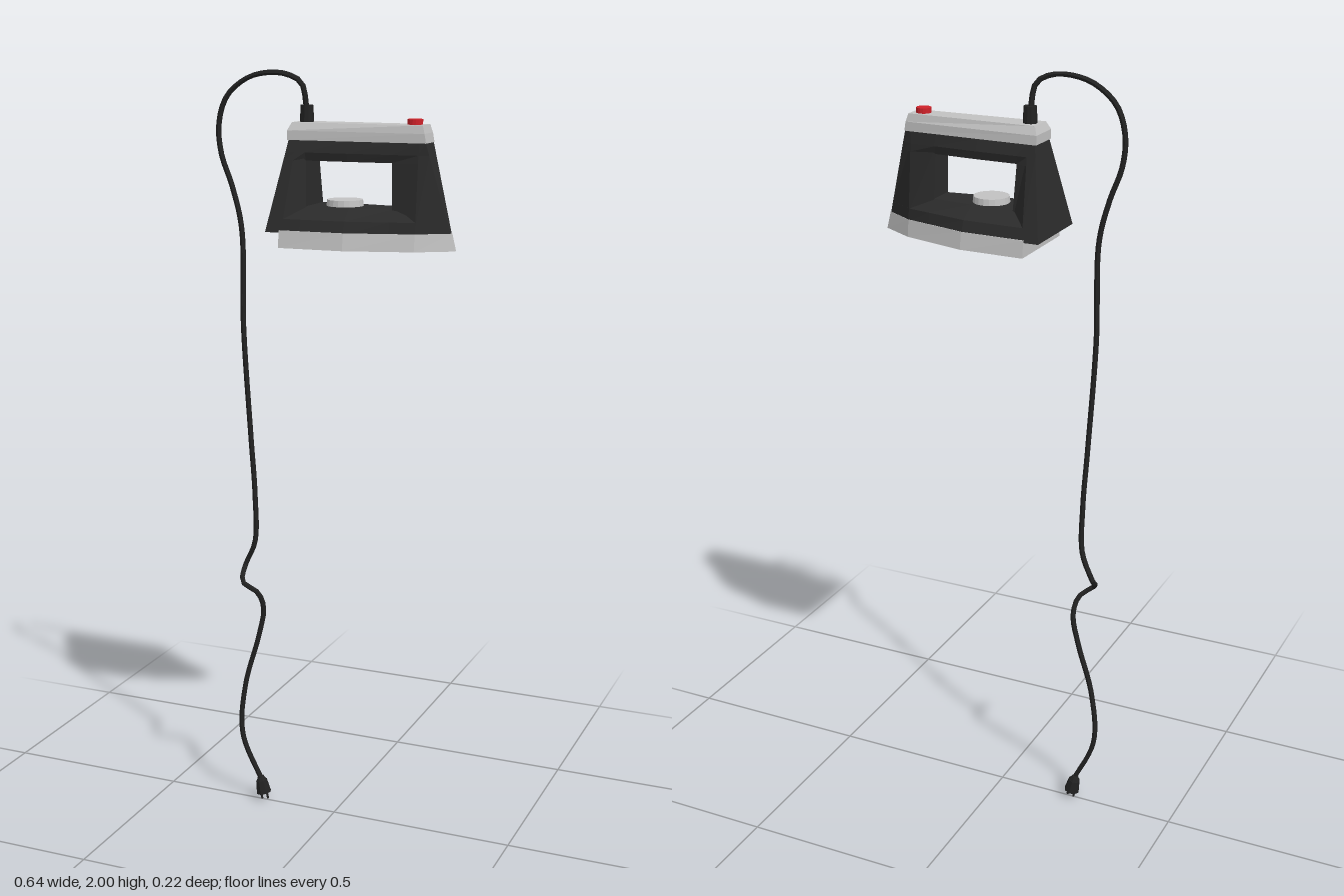
import * as THREE from 'three';

const mat = (name, color) => {
  const m = new THREE.MeshStandardMaterial({ color, flatShading: true });
  m.name = name;
  return m;
};

// Solid from horizontal rings; each ring is { y, pts: [[x, halfWidth], ...] } mirrored in z
function loft(rings) {
  const loops = rings.map(({ y, pts }) => [
    ...pts.map(([x, z]) => [x, y, z]),
    ...[...pts].reverse().map(([x, z]) => [x, y, -z]),
  ]);
  const pos = [];
  const quad = (a, b, c, d) => pos.push(...a, ...b, ...c, ...a, ...c, ...d);
  const m = loops[0].length;
  for (let r = 0; r + 1 < loops.length; r++) {
    const lo = loops[r], hi = loops[r + 1];
    for (let i = 0; i < m; i++) {
      const j = (i + 1) % m;
      quad(lo[i], lo[j], hi[j], hi[i]);
    }
  }
  const bottom = loops[0], top = loops[loops.length - 1];
  for (let i = 0; i + 1 < m / 2; i++) {
    quad(top[i], top[i + 1], top[m - 2 - i], top[m - 1 - i]);
    quad(bottom[m - 1 - i], bottom[m - 2 - i], bottom[i + 1], bottom[i]);
  }
  const g = new THREE.BufferGeometry();
  g.setAttribute('position', new THREE.Float32BufferAttribute(pos, 3));
  g.computeVertexNormals();
  return g;
}

// Shell stations from heel to nose: [x, half width] at the skirt and under the cap
const SKIRT = [[-0.143, 0.105], [-0.1, 0.105], [-0.05, 0.104], [0.065, 0.1], [0.172, 0.07], [0.235, 0.053], [0.312, 0.004]];
const CROWN = [[-0.105, 0.042], [-0.085, 0.041], [-0.06, 0.04], [0.05, 0.037], [0.165, 0.034], [0.235, 0.031], [0.252, 0.029]];
const Y0 = 1.607, Y1 = 1.83;

// Slice of the shell at height fraction t, with optional narrowing per station
function slice(t, from = 0, to = 6, scale = () => 1) {
  const pts = [];
  for (let i = from; i <= to; i++) {
    const [ax, az] = SKIRT[i], [bx, bz] = CROWN[i];
    pts.push([ax + (bx - ax) * t, (az + (bz - az) * t) * scale(i)]);
  }
  return { y: Y0 + (Y1 - Y0) * t, pts };
}

export function createModel() {
  const dark = mat('dark plastic', 0x2b2b2b);
  const black = mat('black rubber', 0x222222);
  const silver = mat('silver', 0xc2c2c2);
  const red = mat('red', 0xd0222a);

  const model = new THREE.Group();
  const add = (parent, name, geometry, material, x = 0, y = 0, z = 0) => {
    const mesh = new THREE.Mesh(geometry, material);
    mesh.name = name;
    mesh.position.set(x, y, z);
    parent.add(mesh);
    return mesh;
  };

  const iron = new THREE.Group();
  iron.name = 'iron';
  model.add(iron);

  // Soleplate with slightly sloping sides
  add(iron, 'soleplate', loft([
    { y: 1.57, pts: [[-0.105, 0.112], [0.065, 0.107], [0.235, 0.059], [0.322, 0.006]] },
    { y: 1.613, pts: [[-0.105, 0.106], [0.065, 0.1], [0.235, 0.053], [0.312, 0.005]] },
  ]), silver);

  // Lower shell, its deck rising to a narrower centre
  add(iron, 'lowerBody', loft([slice(0), slice(0.15), slice(0.28, 0, 6, () => 0.6)]), dark);

  // Pillars taper towards the hand opening
  const pillar = (from, to, edge) => loft([
    slice(0.12, from, to, i => (i === edge ? 0.6 : 1)),
    slice(0.87, from, to, i => (i === edge ? 0.85 : 1)),
  ]);
  add(iron, 'rearPillar', pillar(0, 2, 2), dark);
  add(iron, 'frontPillar', pillar(4, 6, 4), dark);

  // Handle bar with a chamfered underside
  add(iron, 'handle', loft([
    slice(0.78, 0, 6, i => (i > 1 && i < 5 ? 0.8 : 1)),
    slice(0.87),
    slice(1),
  ]), dark);

  // Bevelled cap along the handle
  add(iron, 'handleCap', loft([
    { y: 1.83, pts: [[-0.109, 0.044], [0.253, 0.031]] },
    { y: 1.853, pts: [[-0.109, 0.043], [0.249, 0.031]] },
    { y: 1.873, pts: [[-0.1, 0.032], [0.243, 0.027]] },
  ]), silver);

  // Controls
  add(iron, 'temperatureDial', new THREE.CylinderGeometry(0.045, 0.047, 0.016, 20), silver, 0.03, 1.677);
  add(iron, 'steamButton', new THREE.CylinderGeometry(0.019, 0.019, 0.016, 16), red, 0.214, 1.878);

  // Cord with its strain relief
  add(model, 'cordSleeve', new THREE.CylinderGeometry(0.016, 0.018, 0.044, 10), black, -0.073, 1.892);
  const path = [
    [-0.073, 1.9, 0], [-0.084, 1.967, 0.008], [-0.116, 1.987, 0.014], [-0.17, 1.992, 0.013],
    [-0.233, 1.977, 0.01], [-0.291, 1.931, 0.008], [-0.315, 1.862, 0.006], [-0.31, 1.788, 0.005],
    [-0.28, 1.704, 0.005], [-0.255, 1.6, 0.006], [-0.254, 1.344, 0.005], [-0.238, 1.05, 0.003],
    [-0.228, 0.89, 0.003], [-0.23, 0.757, 0.002], [-0.262, 0.685, -0.003], [-0.252, 0.65, 0.036],
    [-0.215, 0.618, 0.02], [-0.206, 0.57, 0.004], [-0.222, 0.487, 0.003], [-0.262, 0.339, 0.008],
    [-0.273, 0.19, 0.006], [-0.215, 0.05, 0.002],
  ].map(p => new THREE.Vector3(...p));
  add(model, 'cord', new THREE.TubeGeometry(new THREE.CatmullRomCurve3(path), 110, 0.007, 6), black);

  // Plug with two pins
  const plug = new THREE.Group();
  plug.name = 'plug';
  plug.position.set(-0.217, 0.038, 0);
  plug.rotation.z = 0.2;
  model.add(plug);
  add(plug, 'plugBody', new THREE.CylinderGeometry(0.016, 0.021, 0.036, 8), black);
  add(plug, 'plugNeck', new THREE.CylinderGeometry(0.008, 0.015, 0.014, 8), black, 0, 0.024);
  for (const s of [-1, 1]) {
    add(plug, 'plugPin', new THREE.CylinderGeometry(0.003, 0.003, 0.02, 6), black, s * 0.009, -0.027);
  }

  return model;
}
